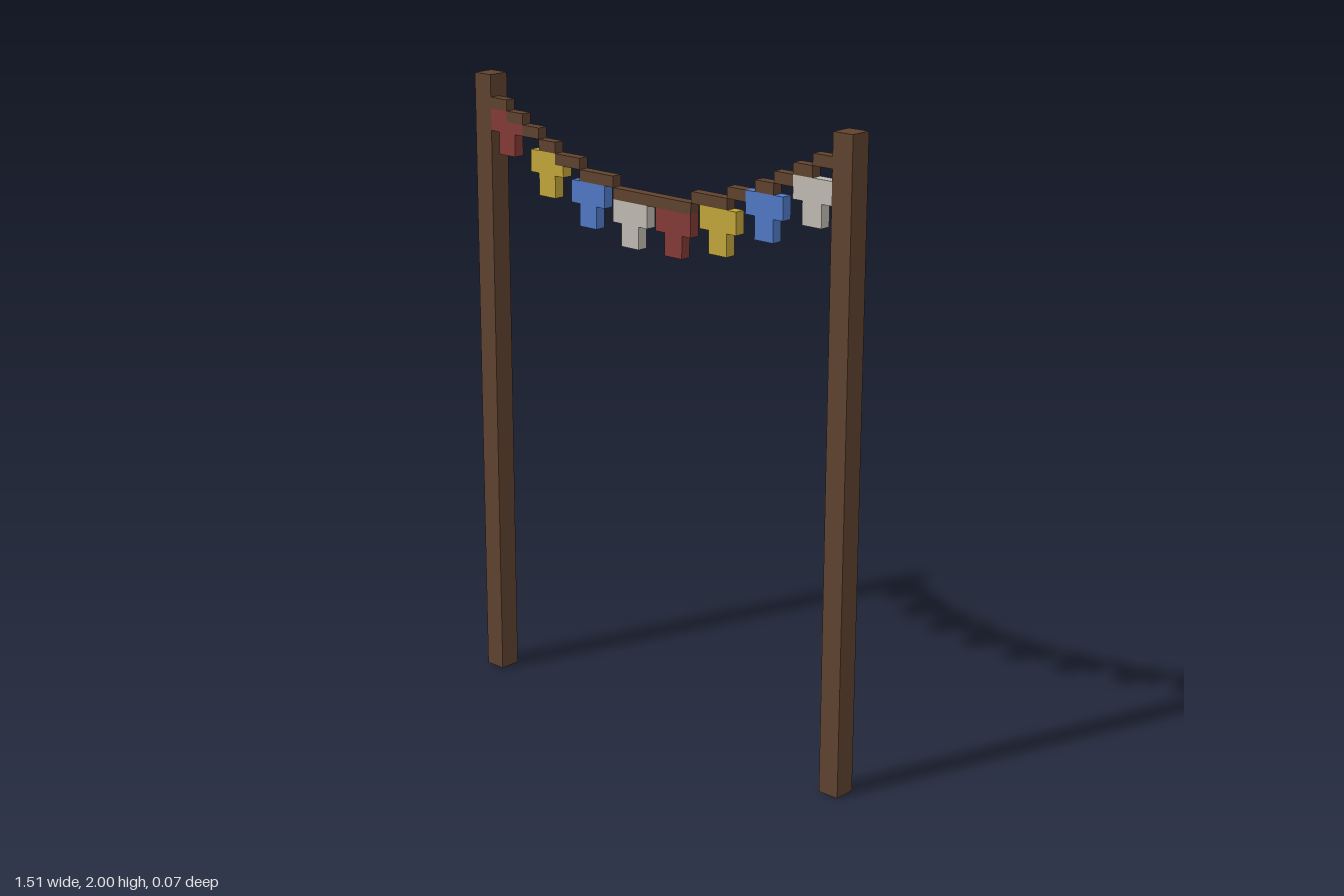
import * as THREE from 'three';

const U = 2 / 57; // block size
const TOP = 57;   // height in blocks

const mat = (name, color) => {
  const m = new THREE.MeshStandardMaterial({ color });
  m.name = name;
  return m;
};

export function createModel() {
  const group = new THREE.Group();
  group.name = 'clothesline';
  const wood = mat('brown wood', 0x5e422e);
  const red = mat('red cloth', 0x823a35);
  const yellow = mat('yellow cloth', 0xc1a43a);
  const blue = mat('blue cloth', 0x4f78c4);
  const white = mat('off-white cloth', 0xbebab1);

  // Box given by its limits in blocks
  const box = (name, x0, x1, y0, y1, z0, z1) => {
    const g = new THREE.BoxGeometry((x1 - x0) * U, (y1 - y0) * U, (z1 - z0) * U);
    g.translate((x0 + x1) / 2 * U, (y0 + y1) / 2 * U, (z0 + z1) / 2 * U);
    const m = new THREE.Mesh(g, wood);
    m.name = name;
    group.add(m);
  };

  // Posts
  box('leftPost', 19.5, 21.5, 0, TOP, -1, 1);
  box('rightPost', -21.5, -19.5, 0, TOP, -1, 1);

  // Stepped sagging rope: [start, end, rows below the top]
  const rope = [
    [-19.5, -17.5, 2], [-17.5, -15.5, 3], [-15.5, -13.5, 4], [-13.5, -11.5, 5],
    [-11.5, -8.5, 6], [-8.5, -4.5, 7], [-4.5, 4.5, 8], [4.5, 8.5, 7],
    [8.5, 10.5, 6], [11.5, 13.5, 5], [13.5, 15.5, 4], [15.5, 17.5, 3], [17.5, 19.5, 2],
  ];
  rope.forEach(([x0, x1, row]) => box('rope', x0, x1, TOP - row - 1, TOP - row, 0, 1));

  // T-shaped shirts: [start, rows below the top, cloth, width of corner taken by the rope]
  const shirts = [
    [-19.5, 3, red, 2], [-14.5, 6, yellow, 1], [-9.5, 8, blue, 0], [-4.5, 9, white, 0],
    [0.5, 9, red, 0], [5.5, 8, yellow, 0], [10.5, 6, blue, 0], [15.5, 4, white, 0],
  ];
  shirts.forEach(([x, row, cloth, notch]) => {
    const corner = notch ? [[4, -1], [4 - notch, -1], [4 - notch, 0]] : [[4, 0]];
    const outline = [[0, 0], [0, -2], [1, -2], [1, -4], [3, -4], [3, -2], [4, -2], ...corner];
    const shape = new THREE.Shape(outline.map(([a, b]) => new THREE.Vector2(a * U, b * U)));
    const shirt = new THREE.Mesh(
      new THREE.ExtrudeGeometry(shape, { depth: U, bevelEnabled: false }), cloth);
    shirt.position.set(x * U, (TOP - row) * U, 0);
    shirt.name = 'shirt';
    group.add(shirt);
  });

  return group;
}
